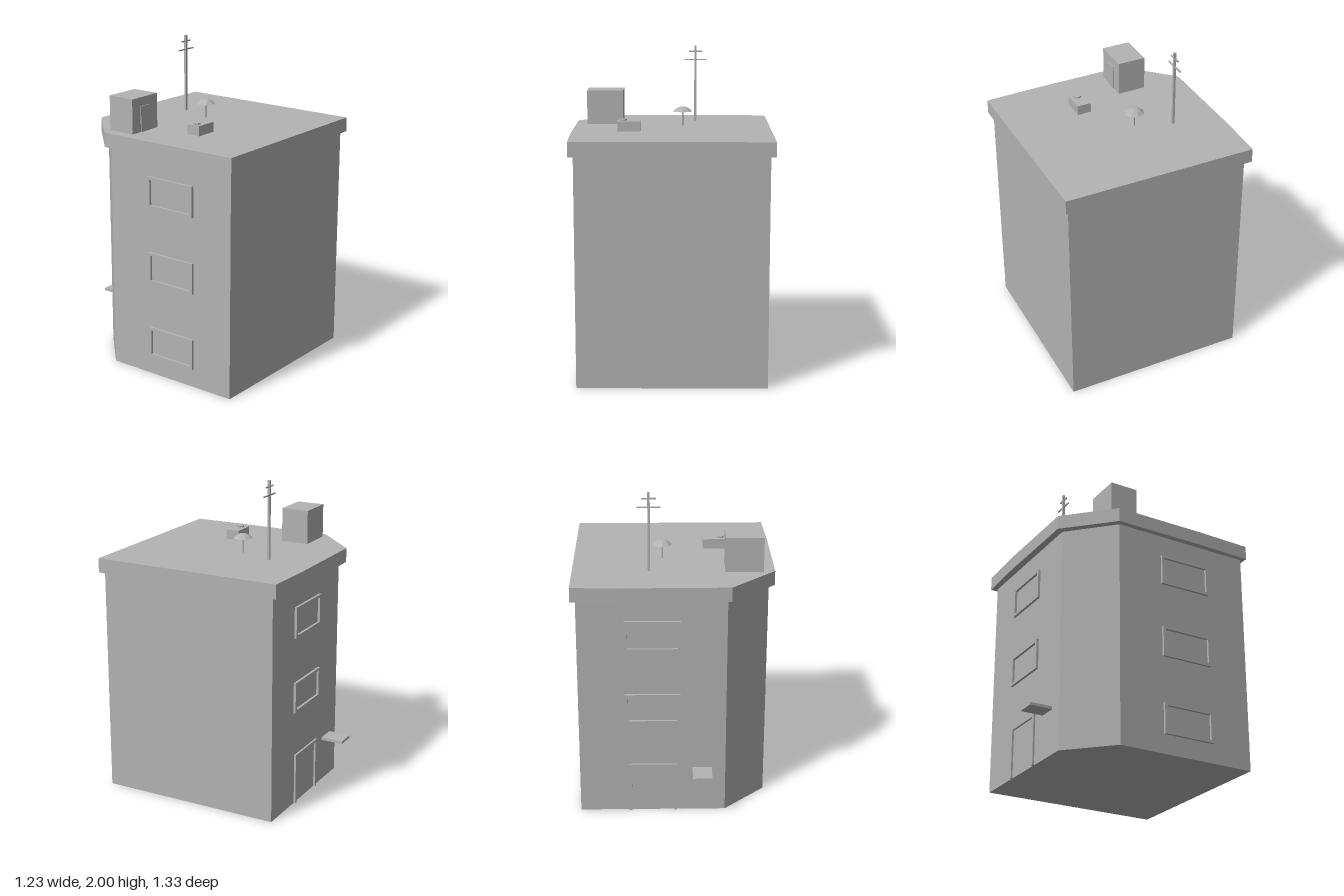
import * as THREE from 'three';

export function createModel() {
  const model = new THREE.Group();
  const grey = new THREE.MeshStandardMaterial({ color: 0xb3b3b3, flatShading: true });
  grey.name = 'concreteGrey';

  function add(name, geometry, x = 0, y = 0, z = 0, parent = model) {
    const mesh = new THREE.Mesh(geometry, grey);
    mesh.name = name;
    mesh.position.set(x, y, z);
    parent.add(mesh);
    return mesh;
  }
  // Box given by its lower and upper limits
  function box(name, x0, x1, y0, y1, z0, z1) {
    return add(name, new THREE.BoxGeometry(x1 - x0, y1 - y0, z1 - z0),
      (x0 + x1) / 2, (y0 + y1) / 2, (z0 + z1) / 2);
  }
  // Upright prism over a plan outline of [x, z] corners
  function prism(name, plan, y0, y1) {
    const shape = new THREE.Shape(plan.map(([x, z]) => new THREE.Vector2(x, -z)));
    const g = new THREE.ExtrudeGeometry(shape, { depth: y1 - y0, bevelEnabled: false });
    g.rotateX(-Math.PI / 2);
    return add(name, g, 0, y0, 0);
  }

  // Block with one cut corner, and the overhanging roof slab
  prism('walls', [[-0.575, 0.64], [0.585, 0.64], [0.585, -0.52], [-0.32, -0.52], [-0.58, -0.265]], 0, 1.42);
  prism('roofSlab', [[-0.605, 0.665], [0.615, 0.665], [0.615, -0.555], [0.3, -0.565],
    [-0.34, -0.562], [-0.615, -0.285], [-0.615, 0.3]], 1.42, 1.51);

  // Raised frames around windows; a door frame is open at the bottom
  function frame(name, width, height, depth, open = false) {
    const w = width / 2, b = 0.018;
    const rect = (l, r, lo, hi) => [[l, lo], [r, lo], [r, hi], [l, hi]].map(p => new THREE.Vector2(...p));
    let shape;
    if (open) {
      shape = new THREE.Shape([[-w, 0], [-w + b, 0], [-w + b, height - b], [w - b, height - b],
        [w - b, 0], [w, 0], [w, height], [-w, height]].map(p => new THREE.Vector2(...p)));
    } else {
      shape = new THREE.Shape(rect(-w, w, 0, height));
      shape.holes.push(new THREE.Path(rect(-w + b, w - b, b, height - b)));
    }
    return add(name, new THREE.ExtrudeGeometry(shape, { depth, bevelEnabled: false }));
  }
  for (const y of [1.09, 0.61]) {
    const f = frame('backWindowFrame', 0.34, 0.195, 0.015);
    f.position.set(0.13, y, -0.52);
    f.rotation.y = Math.PI;
  }
  for (const y of [1.09, 0.61, 0.12]) {
    const f = frame('sideWindowFrame', 0.34, 0.195, 0.016);
    f.position.set(-0.579, y, 0.2);
    f.rotation.y = -Math.PI / 2;
  }
  const door = frame('doorFrame', 0.3, 0.325, 0.012, true);
  door.position.set(0.13, 0, -0.52);
  door.rotation.y = Math.PI;
  box('canopy', -0.235, -0.115, 0.28, 0.297, -0.665, -0.515);

  // Stair house on the roof
  box('stairHouse', -0.545, -0.315, 1.51, 1.725, -0.3, -0.12);
  box('stairDoor', -0.47, -0.39, 1.51, 1.67, -0.12, -0.115);

  // Air conditioner with its fan
  box('airConditioner', -0.335, -0.195, 1.51, 1.572, 0.133, 0.222);
  add('fan', new THREE.CylinderGeometry(0.024, 0.024, 0.01, 6).rotateY(Math.PI / 6), -0.302, 1.576, 0.178);

  // Mushroom vent
  add('ventStem', new THREE.CylinderGeometry(0.005, 0.005, 0.1, 8), 0.065, 1.56, -0.04);
  const cap = [[0, 1.6], [0.062, 1.602], [0.035, 1.624], [0.018, 1.63], [0, 1.63]];
  add('ventCap', new THREE.LatheGeometry(cap.map(p => new THREE.Vector2(...p)), 8), 0.065, 0, -0.04);

  // Antenna mast and crossbars
  box('antennaMast', 0.14, 0.155, 1.51, 2, -0.272, -0.257);
  box('antennaLowerBar', 0.077, 0.22, 1.905, 1.913, -0.269, -0.261);
  box('antennaUpperBar', 0.104, 0.192, 1.958, 1.966, -0.269, -0.261);

  return model;
}
